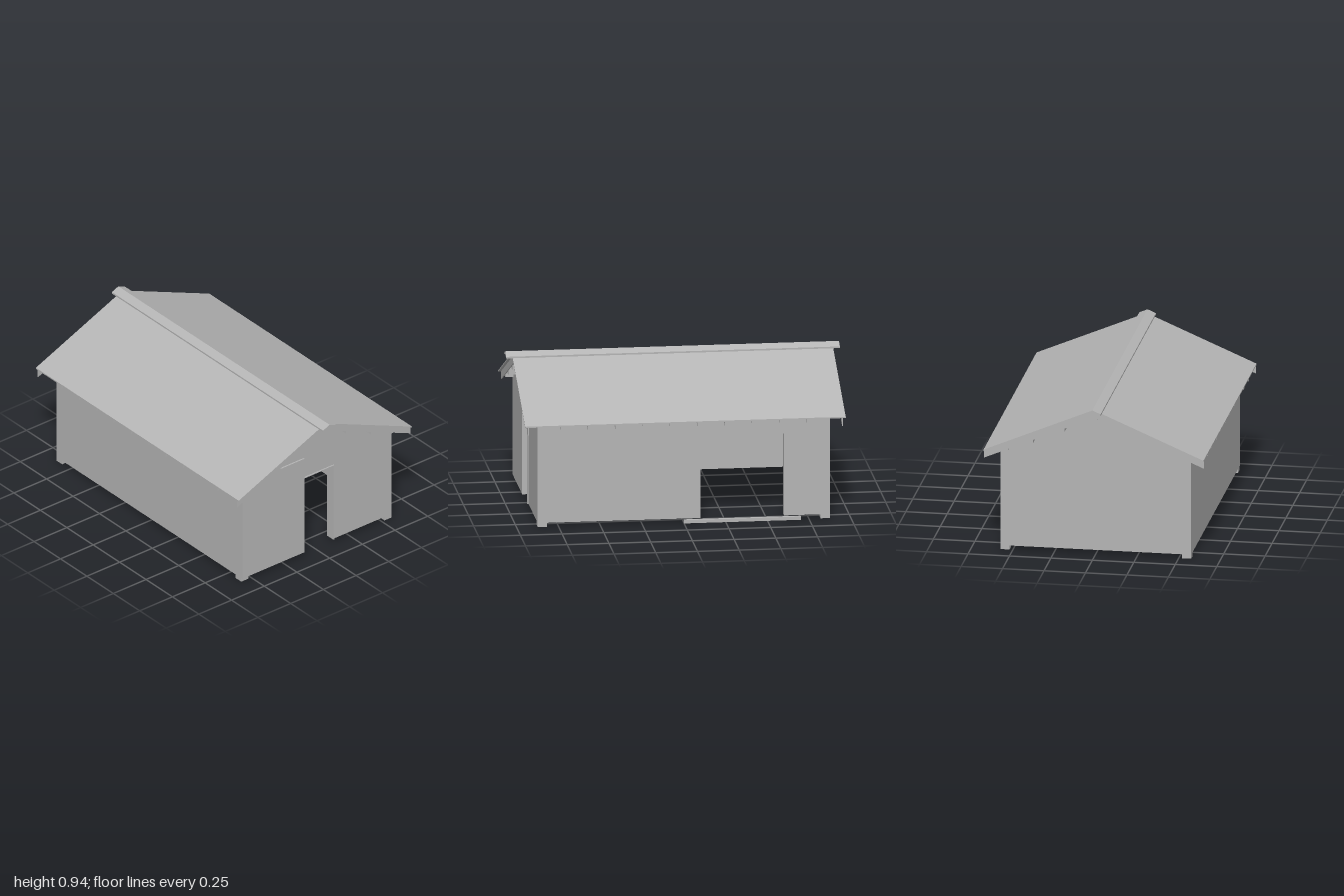
import * as THREE from 'three';

export function createModel() {
  const model = new THREE.Group();
  model.name = 'barn';
  const grey = new THREE.MeshStandardMaterial({ color: 0xb4b4b4 });
  grey.name = 'plain grey';

  const W = 0.575, L = 0.875, T = 0.025, SILL = 0.025; // wall half width, half length, thickness, base height
  const EAVE = 0.663;
  const roofY = (x, off = 0) => 0.925 - 0.425 * Math.abs(x) + off;

  function add(name, geometry) {
    const mesh = new THREE.Mesh(geometry, grey);
    mesh.name = name;
    model.add(mesh);
    return mesh;
  }
  // Box given by its lower and upper limits
  function box(name, x0, x1, y0, y1, z0, z1) {
    add(name, new THREE.BoxGeometry(x1 - x0, y1 - y0, z1 - z0))
      .position.set((x0 + x1) / 2, (y0 + y1) / 2, (z0 + z1) / 2);
  }
  // Outline in x and y, extruded from z0 to z1
  function slab(name, points, z0, z1) {
    const shape = new THREE.Shape(points.map(([x, y]) => new THREE.Vector2(x, y)));
    add(name, new THREE.ExtrudeGeometry(shape, { depth: z1 - z0, bevelEnabled: false }))
      .position.z = z0;
  }
  // Inverted V that follows the roof pitch, between two offsets from its top surface
  function chevron(name, half, top, bottom, z0, z1) {
    slab(name, [
      [-half, roofY(half, bottom)], [0, roofY(0, bottom)], [half, roofY(half, bottom)],
      [half, roofY(half, top)], [0, roofY(0, top)], [-half, roofY(half, top)],
    ], z0, z1);
  }

  // Roof sheets, ridge cap and bargeboards
  chevron('roofSheets', EAVE, 0, -0.008, -0.96, 0.96);
  chevron('ridgeCap', 0.05, 0.01, 0, -1, 1);
  for (const z of [-0.944, 0.938]) chevron('bargeboard', EAVE, -0.006, -0.055, z, z + 0.006);

  // Rafters with tails under the eaves
  for (let i = 0; i < 10; i++) {
    const z = 0.738 - i * 0.164;
    chevron('rafter', 0.652, -0.008, -0.043, z - 0.009, z + 0.009);
  }

  // Ridge beam, purlins and wall plates
  box('ridgeBeam', -0.018, 0.018, 0.855, 0.9, -0.935, 0.935);
  for (const s of [-1, 1]) {
    for (const x of [0.2, 0.39]) {
      const y = roofY(x, -0.043);
      box('purlin', s * x - 0.022, s * x + 0.022, y - 0.025, y + 0.02, -0.935, 0.935);
    }
    const c = s * (W - 0.0275);
    box('wallPlate', c - 0.0275, c + 0.0275, 0.637, 0.67, -0.935, 0.935);
  }

  // Gable walls, the front one with a doorway
  const top = [[W, roofY(W, -0.008)], [0, roofY(0, -0.008)], [-W, roofY(W, -0.008)]];
  slab('backWall', [[-W, SILL], [W, SILL], ...top], -L, -L + T);
  slab('frontWall', [
    [-W, SILL], [-0.1, SILL], [-0.1, 0.54], [0.122, 0.54], [0.122, SILL], [W, SILL], ...top,
  ], L - T, L);

  // Side walls, the left one with a wide opening
  const Z = L - T;
  box('rightWall', -W, -W + T, SILL, 0.665, -Z, Z);
  box('leftWallFront', W - T, W, SILL, 0.665, -0.1, Z);
  box('leftWallBack', W - T, W, SILL, 0.665, -Z, -0.6);
  box('leftWallLintel', W - T, W, 0.53, 0.665, -0.6, -0.1);

  // Corner posts standing on the ground
  for (const sx of [-1, 1]) for (const sz of [-1, 1]) {
    const x = sx * (W - 0.0275), z = sz * (L - 0.0275);
    box('cornerPost', x - 0.0275, x + 0.0275, 0, 0.64, z - 0.0275, z + 0.0275);
  }

  // Posts beside the openings
  box('sideJamb', W - 0.055, W - T, SILL, 0.64, -0.1, -0.05);
  box('sideJamb', W - 0.055, W - T, SILL, 0.64, -0.65, -0.6);
  box('sideHeader', W - 0.055, W - T, 0.53, 0.58, -0.6, -0.1);
  box('doorJamb', -0.15, -0.1, SILL, 0.68, L - 0.05, L - T);
  box('doorJamb', 0.122, 0.172, SILL, 0.68, L - 0.05, L - T);

  // Sliding front door panel, door trim and side door ground rail
  slab('slidingDoor', [
    [-W, SILL], [-0.1, SILL], [-0.1, 0.68], [-0.52, 0.68], [-W, roofY(W, -0.02)],
  ], L, L + 0.01);
  box('doorTrimSide', 0.122, 0.13, SILL, 0.545, L, L + 0.008);
  box('doorTrimTop', -0.1, 0.122, 0.54, 0.545, L, L + 0.008);
  box('groundRail', W, 0.595, 0, 0.02, -0.7, 0);

  return model;
}
